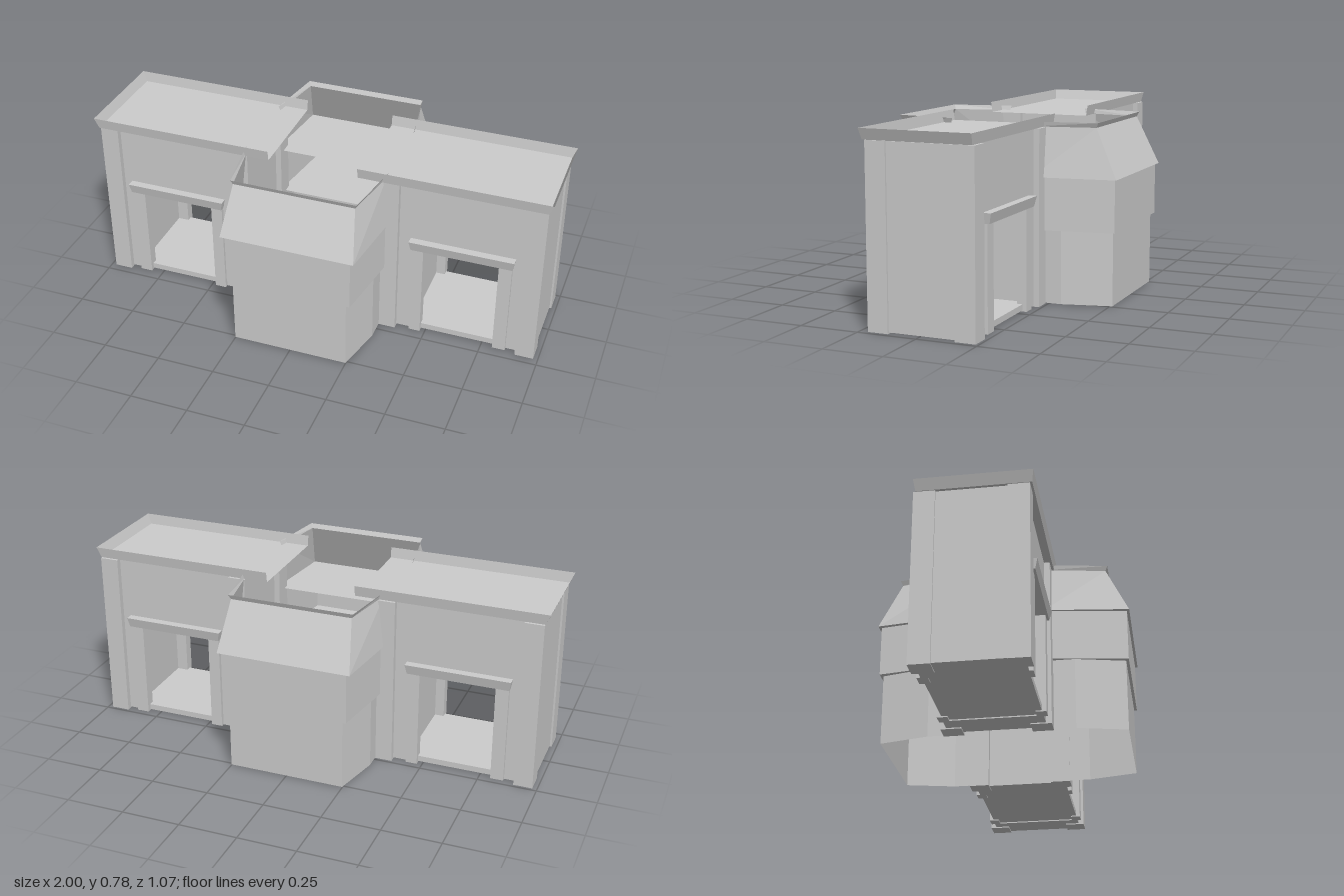
import * as THREE from 'three';

const stone = new THREE.MeshStandardMaterial({ color: 0xcccccc, side: THREE.DoubleSide });
stone.name = 'pale grey stone';

function addMesh(parent, name, geometry) {
  const mesh = new THREE.Mesh(geometry, stone);
  mesh.name = name;
  parent.add(mesh);
  return mesh;
}

// Box given by its limits on each axis
function block(parent, name, [x0, x1], [y0, y1], [z0, z1]) {
  const geo = new THREE.BoxGeometry(x1 - x0, y1 - y0, z1 - z0);
  geo.translate((x0 + x1) / 2, (y0 + y1) / 2, (z0 + z1) / 2);
  return addMesh(parent, name, geo);
}

// Thin wall spanned between open outlines [x, z] at two heights
function wallStrip(parent, name, y0, lower, y1, upper) {
  const pos = [];
  for (let i = 0; i < lower.length - 1; i++) {
    const a = [lower[i][0], y0, lower[i][1]];
    const b = [lower[i + 1][0], y0, lower[i + 1][1]];
    const c = [upper[i + 1][0], y1, upper[i + 1][1]];
    const d = [upper[i][0], y1, upper[i][1]];
    pos.push(...a, ...b, ...c, ...a, ...c, ...d);
  }
  const geo = new THREE.BufferGeometry();
  geo.setAttribute('position', new THREE.Float32BufferAttribute(pos, 3));
  geo.computeVertexNormals();
  return addMesh(parent, name, geo);
}

// Flat sheet filling an outline at one height
function sheet(parent, name, y, outline) {
  const shape = new THREE.Shape(outline.map(([x, z]) => new THREE.Vector2(x, -z)));
  const geo = new THREE.ShapeGeometry(shape);
  geo.rotateX(-Math.PI / 2);
  geo.translate(0, y, 0);
  return addMesh(parent, name, geo);
}

// Mirrors half an outline (from the -x rear end to the front) across x
const mirrored = (half) => [
  ...half.map(([x, z]) => [-x, z]),
  ...half.slice().reverse(),
];

// Wing with an open passage; side is 1 for +x, -1 for the turned copy
function makeWing(side) {
  const wing = new THREE.Group();
  wing.name = side > 0 ? 'leftWing' : 'rightWing';

  // Main block, cut away below for the passage
  const profile = new THREE.Shape();
  [[0.32, 0.005], [0.44, 0.005], [0.44, 0.45], [0.85, 0.45], [0.85, 0.005],
    [0.972, 0.005], [0.972, 0.733], [0.32, 0.733]]
    .forEach(([x, y], i) => (i ? profile.lineTo(x, y) : profile.moveTo(x, y)));
  const body = new THREE.ExtrudeGeometry(profile, { depth: 0.404, bevelEnabled: false });
  body.translate(0, 0, -0.202);
  addMesh(wing, 'wingWalls', body);
  block(wing, 'passageFloor', [0.44, 0.85], [0.01, 0.035], [-0.2, 0.2]);

  for (const s of [1, -1]) {
    const span = (a, b) => (s > 0 ? [a, b] : [-b, -a]);
    // Pilasters at the corners
    block(wing, 'cornerPilaster', [0.9, 0.98], [0, 0.734], span(0.14, 0.226));
    block(wing, 'innerPilaster', [0.295, 0.37], [0, 0.734], span(0.14, 0.226));
    // Door frame
    block(wing, 'doorJamb', [0.43, 0.48], [0.005, 0.44], span(0.175, 0.218));
    block(wing, 'doorJamb', [0.8, 0.855], [0.005, 0.44], span(0.175, 0.218));
    const lintel = block(wing, 'doorLintel', [0.42, 0.865], [0.428, 0.47], span(0.17, 0.237));
    // Narrow the lower edge so the lintel flares upward
    const p = lintel.geometry.attributes.position;
    for (let i = 0; i < p.count; i++) {
      if (p.getY(i) > 0.45) continue;
      p.setX(i, p.getX(i) > 0.6 ? 0.858 : 0.428);
      if (Math.abs(p.getZ(i)) > 0.2) p.setZ(i, s * 0.228);
    }
    lintel.geometry.computeVertexNormals();
  }

  // Roof deck and flared parapet, open toward the centre
  const rim = (x, z) => [[0.195, z], [x, z], [x, -z], [0.195, -z]];
  const roof = new THREE.Group();
  roof.name = 'wingRoof';
  roof.position.z = 0.009 * side;
  sheet(roof, 'roofDeck', 0.735, rim(0.982, 0.226));
  wallStrip(roof, 'parapet', 0.735, rim(0.982, 0.226), 0.78, rim(1, 0.233));
  wing.add(roof);

  wing.position.z = -0.011;
  if (side < 0) wing.rotation.y = Math.PI;
  return wing;
}

// Central bay in three stepped tiers, open toward the centre
function makeBay(name) {
  const bay = new THREE.Group();
  bay.name = name;
  const base = mirrored([[0.298, 0.2], [0.298, 0.305], [0.25, 0.513]]);
  const middle = mirrored([[0.318, 0.2], [0.27, 0.525]]);
  const eave = mirrored([[0.33, 0.185], [0.287, 0.536]]);
  const crown = mirrored([[0.306, 0.185], [0.26, 0.441]]);
  const lip = mirrored([[0.312, 0.18], [0.268, 0.45]]);
  wallStrip(bay, 'baseWall', 0.003, base, 0.31, base);
  sheet(bay, 'lowerLedge', 0.31, middle);
  wallStrip(bay, 'middleWall', 0.31, middle, 0.53, middle);
  sheet(bay, 'upperDeck', 0.53, eave);
  wallStrip(bay, 'slopingWall', 0.53, eave, 0.735, crown);
  wallStrip(bay, 'rimLip', 0.735, crown, 0.755, lip);
  return bay;
}

export function createModel() {
  const model = new THREE.Group();
  model.name = 'gatehouse';
  model.add(makeWing(1), makeWing(-1));

  const front = makeBay('frontBay');
  const back = makeBay('backBay');
  back.rotation.y = Math.PI;
  model.add(front, back);
  return model;
}
